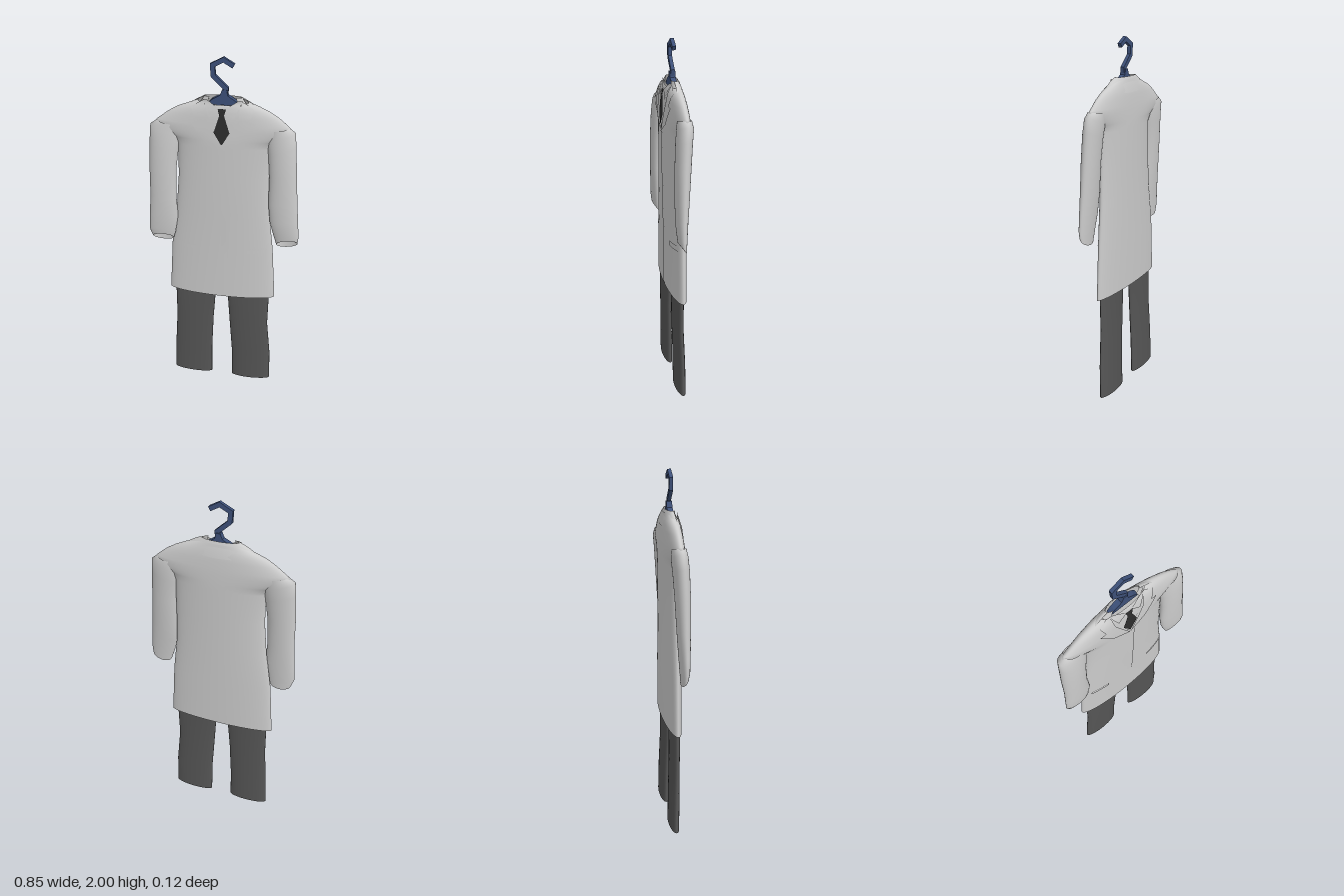
import * as THREE from 'three';

const mat = (color) => new THREE.MeshStandardMaterial({ color, side: THREE.DoubleSide });
const cloth = mat(0xcccccc), dark = mat(0x555555), black = mat(0x2c2c2c), blue = mat(0x3d5078);

// Coat rings, bottom to top: [x right, y, x left, y, z centre, z radius, front tilt]
const BODY = [
  [-0.32, 0.615, 0.30, 0.615, -0.003, 0.049, -0.008],
  [-0.30, 0.93, 0.28, 0.93, -0.003, 0.050, 0],
  [-0.267, 1.15, 0.255, 1.15, 0, 0.052, 0],
  [-0.25, 1.35, 0.25, 1.35, 0, 0.054, 0],
  [-0.25, 1.53, 0.25, 1.53, 0, 0.055, 0],
  [-0.28, 1.57, 0.275, 1.57, 0, 0.055, 0],
  [-0.392, 1.62, 0.372, 1.62, -0.001, 0.053, 0],
  [-0.36, 1.655, 0.345, 1.655, -0.001, 0.051, 0],
  [-0.30, 1.70, 0.29, 1.70, -0.001, 0.048, 0],
  [-0.25, 1.73, 0.24, 1.73, -0.001, 0.044, 0],
  [-0.19, 1.753, 0.19, 1.753, -0.001, 0.039, 0],
  [-0.135, 1.772, 0.13, 1.772, 0, 0.033, -0.012],
];

function grid(rows, cols, point, closed = false) {
  const pos = [], idx = [], w = closed ? cols : cols + 1;
  for (let i = 0; i <= rows; i++) for (let j = 0; j < w; j++) pos.push(...point(i, j));
  for (let i = 0; i < rows; i++) for (let j = 0; j < cols; j++) {
    const k = (j + 1) % w, a = i * w + j, b = i * w + k, c = a + w, d = b + w;
    idx.push(a, c, b, b, c, d);
  }
  const g = new THREE.BufferGeometry();
  g.setAttribute('position', new THREE.Float32BufferAttribute(pos, 3));
  g.setIndex(idx);
  g.computeVertexNormals();
  return g;
}

// Skin over elliptical rings, all the way round or over an arc
function loft(rings, n = 40, t0 = 0, t1 = Math.PI * 2) {
  return grid(rings.length - 1, n, (i, j) => {
    const [xa, ya, xb, yb, zc, rz, tilt] = rings[i];
    const t = t0 + (t1 - t0) * j / n, f = (1 + Math.cos(t)) / 2, s = Math.sin(t);
    return [xa + (xb - xa) * f, ya + (yb - ya) * f + tilt * s, zc + rz * s];
  }, t1 - t0 > 6.28);
}

// Front surface of the coat
function frontZ(x, y) {
  let i = 0;
  while (i < BODY.length - 2 && BODY[i + 1][1] < y) i++;
  const f = THREE.MathUtils.clamp((y - BODY[i][1]) / (BODY[i + 1][1] - BODY[i][1]), 0, 1);
  const [xa, , xb, , zc, rz] = BODY[i].map((v, k) => v + (BODY[i + 1][k] - v) * f);
  const u = (2 * x - xa - xb) / (xb - xa);
  return zc + rz * Math.sqrt(Math.max(0, 1 - u * u));
}

// Four-cornered patch laid on the coat front (corners: bottom left, bottom right, top right, top left)
function patch([a, b, c, d], lift, n = 8) {
  const mix = (p, q, f) => [p[0] + (q[0] - p[0]) * f, p[1] + (q[1] - p[1]) * f];
  return grid(n, n, (i, j) => {
    const [x, y] = mix(mix(b, a, j / n), mix(c, d, j / n), i / n);
    return [x, y, frontZ(x, y) + lift];
  });
}

// Outline of a bent strip with mitred corners
function strip(points, w) {
  const p = points.map(([x, y]) => new THREE.Vector2(x, y)), left = [], right = [];
  p.forEach((v, i) => {
    const a = v.clone().sub(p[Math.max(i - 1, 0)]).normalize();
    const b = p[Math.min(i + 1, p.length - 1)].clone().sub(v).normalize();
    const t = a.clone().add(b).normalize();
    const m = new THREE.Vector2(-t.y, t.x);
    m.multiplyScalar(w / Math.max(0.6, t.dot(i ? a : b)));
    left.push(v.clone().add(m));
    right.unshift(v.clone().sub(m));
  });
  return new THREE.Shape([...left, ...right]);
}

export function createModel() {
  const model = new THREE.Group();
  const add = (name, geometry, material) => {
    const m = new THREE.Mesh(geometry, material);
    m.name = name;
    model.add(m);
    return m;
  };

  add('coatBody', loft(BODY, 56), cloth);

  // Sleeves, cuff to shoulder, with slanted open cuffs
  add('rightSleeve', loft([
    [-0.408, 0.955, -0.285, 0.957, 0.024, 0.02, 0.026],
    [-0.425, 1.0, -0.272, 1.0, 0.025, 0.024, 0.02],
    [-0.42, 1.10, -0.256, 1.10, 0.023, 0.030, 0],
    [-0.412, 1.22, -0.264, 1.22, 0.019, 0.035, 0],
    [-0.41, 1.40, -0.26, 1.38, 0.014, 0.040, 0],
    [-0.403, 1.55, -0.245, 1.50, 0.007, 0.042, 0],
    [-0.398, 1.625, -0.235, 1.57, 0, 0.042, 0],
    [-0.36, 1.65, -0.24, 1.63, 0, 0.036, 0],
  ], 32), cloth);
  add('leftSleeve', loft([
    [0.303, 0.975, 0.42, 0.992, 0.024, 0.02, 0.028],
    [0.285, 1.03, 0.424, 1.035, 0.025, 0.024, 0.02],
    [0.262, 1.11, 0.416, 1.13, 0.023, 0.030, 0],
    [0.25, 1.22, 0.407, 1.24, 0.019, 0.035, 0],
    [0.25, 1.38, 0.396, 1.40, 0.014, 0.040, 0],
    [0.24, 1.50, 0.386, 1.55, 0.007, 0.042, 0],
    [0.23, 1.57, 0.378, 1.625, 0, 0.042, 0],
    [0.235, 1.63, 0.345, 1.65, 0, 0.036, 0],
  ], 32), cloth);

  // Turned-down collar round the back, and the standing band inside it
  add('collar', loft([
    [-0.185, 1.745, 0.185, 1.745, -0.003, 0.046, 0.03],
    [-0.15, 1.772, 0.147, 1.772, -0.002, 0.039, 0.015],
    [-0.105, 1.797, 0.10, 1.797, 0, 0.026, 0],
  ], 28, Math.PI * 0.9, Math.PI * 2.1), cloth);
  add('collarBand', loft([
    [-0.125, 1.76, 0.12, 1.76, 0, 0.032, -0.012],
    [-0.10, 1.797, 0.096, 1.797, 0, 0.025, 0],
  ], 28, Math.PI * 0.75, Math.PI * 2.25), cloth);

  // Shirt front, collar wings, lapels and pocket flaps
  add('shirtFront', patch([[-0.005, 1.53], [0.005, 1.53], [0.09, 1.745], [-0.09, 1.745]], 0.002), cloth);
  for (const [side, s] of [['left', 1], ['right', -1]]) {
    const mirrored = (pts) => {
      const q = pts.map(([x, y]) => [x * s, y]);
      return s > 0 ? q : [q[1], q[0], q[3], q[2]];
    };
    add(side + 'CollarWing', patch(mirrored([[0.012, 1.742], [0.065, 1.70], [0.105, 1.785], [0.085, 1.788]]), 0.006), cloth);
    add(side + 'Lapel', patch(mirrored([[0, 1.515], [0.10, 1.575], [0.175, 1.675], [0.085, 1.69]]), 0.005), cloth);
    add(side + 'LapelTop', patch(mirrored([[0.085, 1.685], [0.135, 1.66], [0.165, 1.745], [0.10, 1.782]]), 0.005), cloth);
    add(side + 'PocketFlap', patch(mirrored([[0.14, 0.905], [0.255, 0.915], [0.25, 0.945], [0.14, 0.935]]), 0.004), cloth);
  }
  add('placket', patch([[-0.004, 0.62], [0.03, 0.62], [0.03, 1.515], [-0.004, 1.515]], 0.002, 20), cloth);

  // Tie: knot and two halves of the blade
  add('tieKnot', patch([[-0.012, 1.71], [0.012, 1.71], [0.022, 1.745], [-0.022, 1.745]], 0.009), black);
  add('tieUpper', patch([[-0.042, 1.62], [0.042, 1.62], [0.012, 1.712], [-0.012, 1.712]], 0.007), black);
  add('tieTip', patch([[-0.003, 1.555], [0.003, 1.555], [0.042, 1.62], [-0.042, 1.62]], 0.007), black);

  // Trouser legs, hem to hip
  add('rightTrouserLeg', loft([
    [-0.31, 0.012, -0.075, 0.006, -0.008, 0.028, 0],
    [-0.302, 0.2, -0.073, 0.2, -0.005, 0.027, 0],
    [-0.287, 0.42, -0.062, 0.42, 0, 0.025, 0],
    [-0.287, 0.60, -0.048, 0.60, 0, 0.025, 0],
    [-0.27, 0.78, 0, 0.78, 0, 0.025, 0],
  ], 32), dark);
  add('leftTrouserLeg', loft([
    [0.052, 0.003, 0.287, 0.01, -0.008, 0.028, 0],
    [0.05, 0.2, 0.284, 0.2, -0.005, 0.027, 0],
    [0.036, 0.42, 0.264, 0.42, 0, 0.025, 0],
    [0.024, 0.60, 0.268, 0.60, 0, 0.025, 0],
    [0, 0.78, 0.25, 0.78, 0, 0.025, 0],
  ], 32), dark);

  // Hanger: angular hook and flared neck
  const slab = (shape, depth) => new THREE.ExtrudeGeometry(shape, { depth, bevelEnabled: false }).translate(0, 0, -depth / 2);
  add('hangerHook', slab(strip([[0.052, 1.957], [0, 1.987], [-0.057, 1.957], [-0.053, 1.902], [0.014, 1.84], [0.008, 1.795]], 0.012), 0.02), blue);
  add('hangerNeck', slab(new THREE.Shape([[-0.085, 1.755], [0.085, 1.755], [0.06, 1.782], [0.024, 1.805], [0.018, 1.835], [-0.006, 1.835], [-0.018, 1.805], [-0.06, 1.782]]
    .map(([x, y]) => new THREE.Vector2(x, y))), 0.03), blue);
  return model;
}
